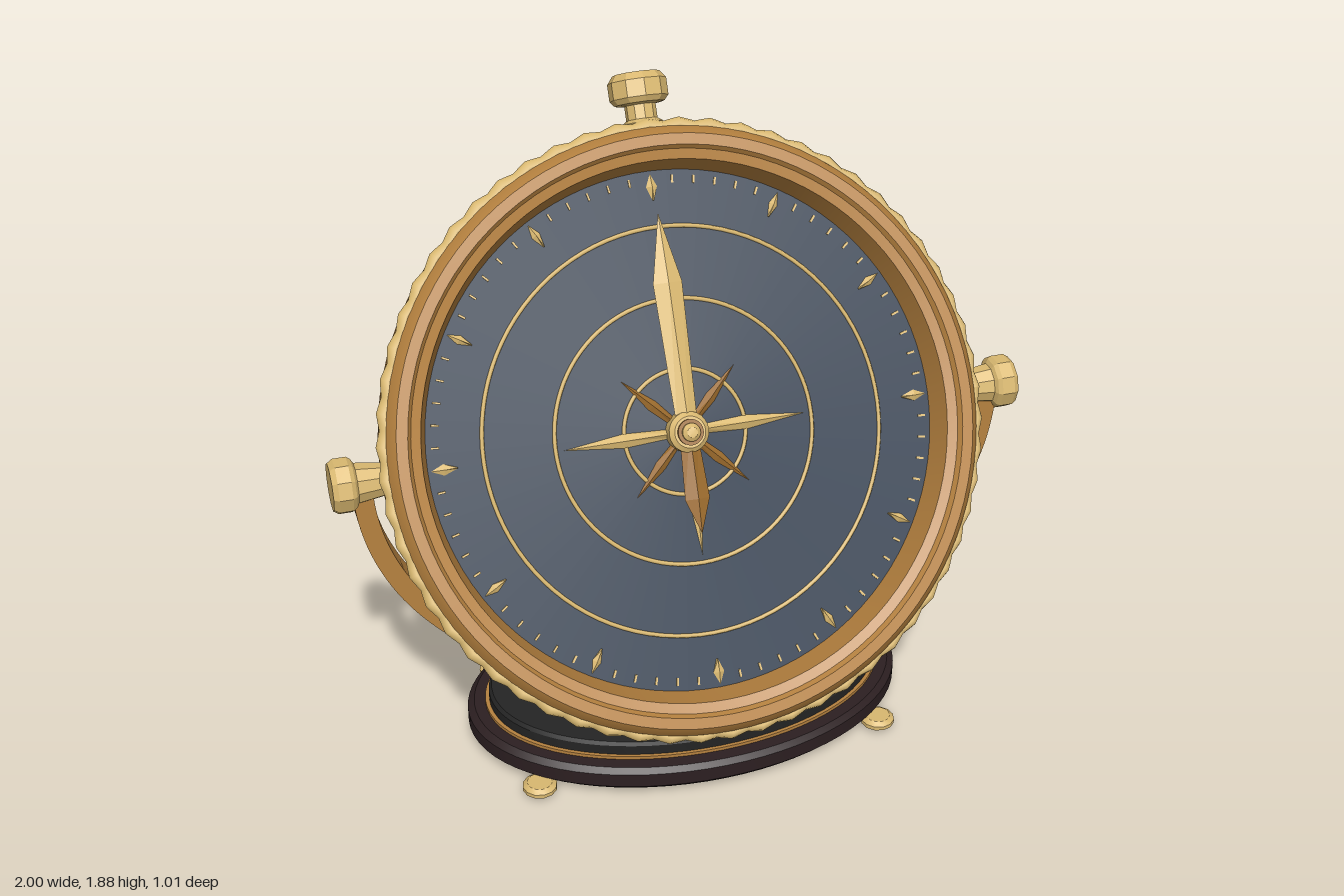
import * as THREE from 'three';
import { toCreasedNormals } from 'three/addons/utils/BufferGeometryUtils.js';

const mat = (name, color) => Object.assign(new THREE.MeshStandardMaterial({ color }), { name });

export function createModel() {
  const brass = mat('brass', 0xb5813f);
  const gold = mat('pale gold', 0xd9b870);
  const copper = mat('dark copper', 0x9a6a2c);
  const navy = mat('navy dial', 0x0f2a42);
  const wood = mat('dark wood', 0x2c1f21);
  const black = mat('black top', 0x242424);

  const model = new THREE.Group();
  model.name = 'tiltingCompass';
  const Z = 0.015, PIVOT = 0.953;

  const add = (parent, name, geo, material, x = 0, y = 0, z = 0) => {
    const mesh = new THREE.Mesh(geo, material);
    mesh.name = name;
    mesh.position.set(x, y, z);
    parent.add(mesh);
    return mesh;
  };
  // turned part: [radius, height] pairs, bottom to top
  const turned = (pts, segs, crease = 0.4) => toCreasedNormals(
    new THREE.LatheGeometry(pts.map(p => new THREE.Vector2(...p)), segs), crease);

  // ---- oval base ----
  const oval = (name, pts, material, rx, rz) =>
    add(model, name, turned(pts, 72).scale(rx, 1, rz), material, 0, 0, Z);
  oval('baseSlab', [[0, 0.022], [0.97, 0.022], [1, 0.037], [1, 0.08], [0.97, 0.096], [0, 0.096]], wood, 0.66, 0.43);
  oval('baseTrim', [[0, 0.094], [1, 0.094], [1, 0.106], [0, 0.106]], brass, 0.607, 0.38);
  oval('baseTop', [[0, 0.1], [1, 0.1], [1, 0.136], [0.985, 0.147], [0, 0.147]], black, 0.595, 0.37);
  for (const sx of [-1, 1]) for (const sz of [-1, 1])
    add(model, 'foot', turned([[0, 0], [0.034, 0], [0.05, 0.012], [0.05, 0.024], [0.036, 0.034], [0, 0.034]], 12),
      gold, sx * 0.52, 0, Z + sz * 0.288);

  // ---- pedestal and yoke ----
  add(model, 'pedestal', turned([[0, 0.145], [0.168, 0.145], [0.165, 0.165], [0.112, 0.195], [0.135, 0.224], [0, 0.224]], 32),
    brass, 0, 0, Z);

  const arc = new THREE.Shape();
  arc.absellipse(0, 0, 0.945, 0.8, Math.PI, Math.PI * 2, false);
  arc.lineTo(0.89, 0);
  arc.absellipse(0, 0, 0.89, 0.745, Math.PI * 2, Math.PI, true);
  const yokeGeo = new THREE.ExtrudeGeometry(arc, { depth: 1, bevelEnabled: false, curveSegments: 48 });
  yokeGeo.translate(0, 0, -0.5);
  const yp = yokeGeo.attributes.position;
  for (let i = 0; i < yp.count; i++) // band widens toward the foot
    yp.setZ(i, yp.getZ(i) * (0.068 - 0.055 * yp.getY(i)));
  yokeGeo.computeVertexNormals();
  add(model, 'yoke', toCreasedNormals(yokeGeo, 0.4), brass, 0, PIVOT, Z);

  // ---- pivot knobs ----
  const knobProfile = [[0, 0.84], [0.045, 0.84], [0.058, 0.93], [0.07, 0.937], [0.078, 0.948], [0.078, 0.985], [0.068, 1], [0, 1]];
  for (const s of [-1, 1])
    add(model, s > 0 ? 'leftKnob' : 'rightKnob', turned(knobProfile, 10, 0.1), gold, 0, PIVOT, Z).rotation.z = -s * Math.PI / 2;

  // ---- tilted compass: local z is the dial axis ----
  const head = new THREE.Group();
  head.name = 'compassHead';
  head.position.set(0, PIVOT, Z);
  head.rotation.x = -28 * Math.PI / 180;
  model.add(head);

  const caseGeo = turned([[0, -0.187], [0.7, -0.187], [0.748, -0.179], [0.797, -0.154], [0.833, -0.118], [0.853, -0.06],
    [0.858, 0], [0.858, 0.06], [0.848, 0.095], [0.826, 0.122], [0.795, 0.122], [0.785, 0.108], [0.757, 0.1], [0.733, 0.015]], 96, 0.5);
  add(head, 'case', caseGeo.rotateX(Math.PI / 2), brass);

  // scalloped bezel ring
  const bezelGeo = new THREE.TorusGeometry(0.85, 0.02, 8, 240);
  const bp = bezelGeo.attributes.position;
  for (let i = 0; i < bp.count; i++) {
    const k = 1 + 0.006 * Math.cos(60 * Math.atan2(bp.getY(i), bp.getX(i)));
    bp.setXY(i, bp.getX(i) * k, bp.getY(i) * k);
  }
  bezelGeo.computeVertexNormals();
  add(head, 'bezelRing', bezelGeo, gold, 0, 0, 0.072);

  // crown on top of the case
  add(head, 'crown', turned([[0, 0.84], [0.058, 0.84], [0.058, 0.868], [0.044, 0.878], [0.044, 0.918], [0.07, 0.922], [0.083, 0.937],
    [0.083, 0.985], [0.066, 1.006], [0, 1.006]], 10, 0.1), gold, 0, 0, 0.02);

  // ---- dial ----
  const D = 0.02;
  add(head, 'dial', new THREE.CircleGeometry(0.737, 96), navy, 0, 0, D);
  for (const r of [0.578, 0.375, 0.177])
    add(head, 'dialRing', new THREE.TorusGeometry(r, 0.006, 6, 96), gold, 0, 0, D);

  // ridged pointer along +y, from r0 through the widest point rm to the tip r1
  const pointer = (r0, w0, rm, w, r1, h) => {
    const a = [-w0, r0, 0], b = [w0, r0, 0], l = [-w, rm, 0], r = [w, rm, 0], t = [0, r1, 0], p = [0, r0, h], q = [0, rm, h];
    const geo = new THREE.BufferGeometry();
    geo.setAttribute('position', new THREE.Float32BufferAttribute(
      [a, p, q, a, q, l, p, b, r, p, r, q, l, q, t, q, r, t, a, b, p].flat(), 3));
    geo.computeVertexNormals();
    return geo;
  };
  const ray = (name, geo, material, deg, z) => {
    add(head, name, geo, material, 0, 0, z).rotation.z = -deg * Math.PI / 180;
  };

  // ticks, with a diamond at every thirty degrees
  for (let deg = 0; deg < 360; deg += 5) {
    if (deg % 30 === 0) ray('hourDiamond', pointer(0.652, 0.002, 0.69, deg % 90 ? 0.013 : 0.016, 0.726, 0.01), gold, deg, D + 0.002);
    else ray('tick', new THREE.BoxGeometry(0.006, 0.022, 0.008).translate(0, 0.708, 0), gold, deg, D);
  }
  // compass rose
  for (let i = 0; i < 4; i++) {
    ray('rosePoint', pointer(0.03, 0.012, 0.18, 0.02, 0.352, 0.014), gold, i * 90, D + 0.004);
    ray('roseDiagonal', pointer(0.03, 0.01, 0.12, 0.016, 0.235, 0.012), copper, i * 90 + 45, D + 0.003);
  }
  // needle and hub
  ray('needleNorth', pointer(0, 0.03, 0.42, 0.042, 0.615, 0.014), gold, 0, D + 0.032);
  ray('needleSouth', pointer(0, 0.026, 0.19, 0.036, 0.29, 0.014), copper, 180, D + 0.032);
  const hub = (name, pts, material) => add(head, name, turned(pts, 24).rotateX(Math.PI / 2), material, 0, 0, D);
  hub('hub', [[0.058, 0], [0.058, 0.042], [0.045, 0.054], [0, 0.054]], gold);
  hub('hubCollar', [[0.037, 0.05], [0.037, 0.062], [0, 0.062]], copper);
  hub('hubCap', [[0.026, 0.06], [0.026, 0.07], [0.015, 0.08], [0, 0.082]], gold);

  return model;
}
